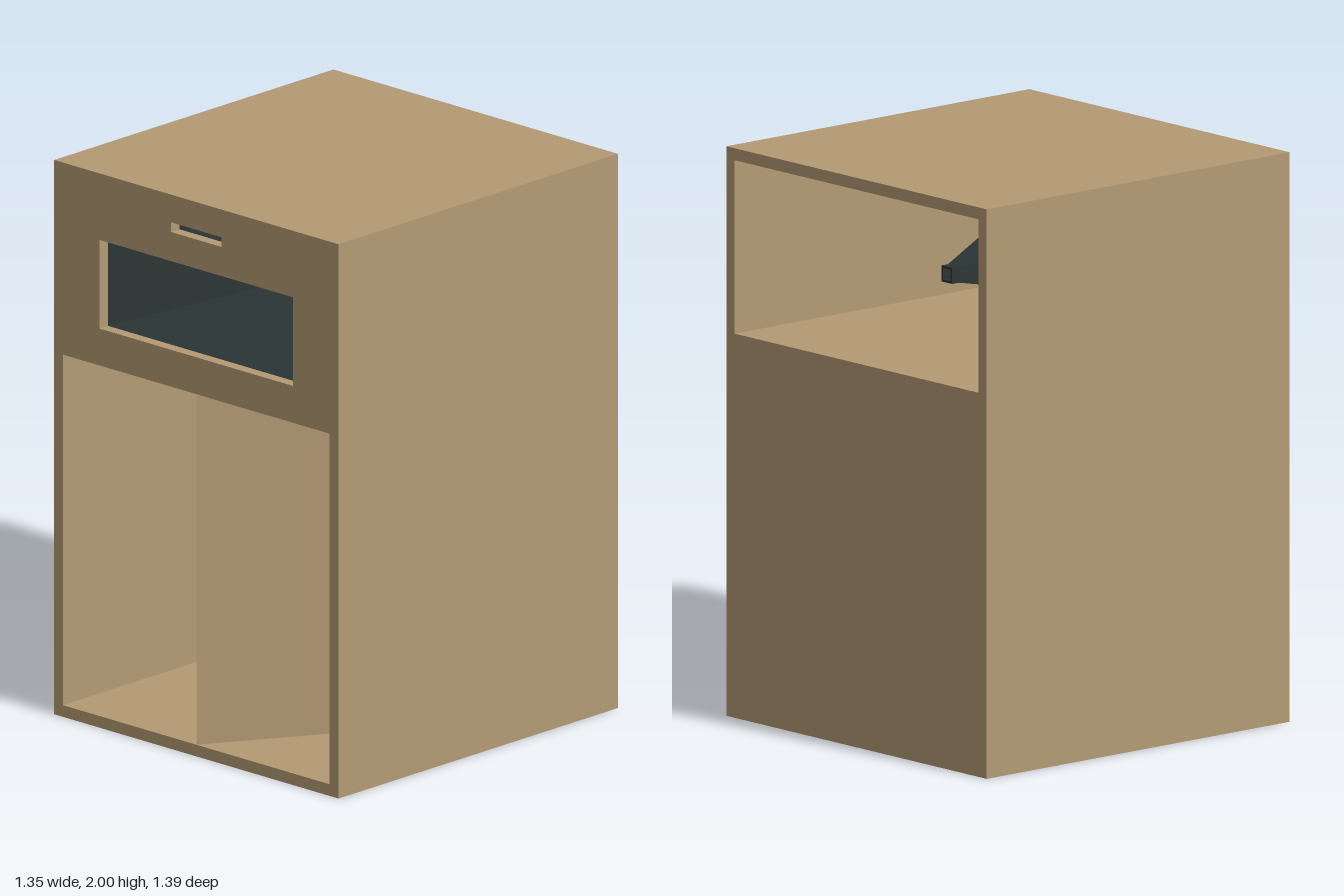
import * as THREE from 'three';

const W = 0.675, D = 0.693, H = 2, T = 0.042; // half width, half depth, height, panel thickness
const IN = W - T;                             // inner half width
const SHELF = 1.307;                          // underside of the shelf

export function createModel() {
  const model = new THREE.Group();
  model.name = 'cabinet';
  const wood = new THREE.MeshStandardMaterial({ color: 0xb39a73 });
  wood.name = 'wood';
  const black = new THREE.MeshStandardMaterial({ color: 0x2b3535 });
  black.name = 'hornBlack';

  const add = (name, geometry, material) => {
    const mesh = new THREE.Mesh(geometry, material);
    mesh.name = name;
    model.add(mesh);
    return mesh;
  };
  // Box panel from its minimum and maximum corners
  const panel = (name, x0, x1, y0, y1, z0, z1) =>
    add(name, new THREE.BoxGeometry(x1 - x0, y1 - y0, z1 - z0), wood)
      .position.set((x0 + x1) / 2, (y0 + y1) / 2, (z0 + z1) / 2);
  const outline = (Type, points) => new Type(points.map(([x, y]) => new THREE.Vector2(x, y)));
  const rect = (hw, y0, y1) => [[-hw, y0], [hw, y0], [hw, y1], [-hw, y1]];

  // Carcass
  panel('topPanel', -W, W, H - T, H, -D, D);
  panel('leftSide', IN, W, 0, H - T, -D, D);
  panel('rightSide', -W, -IN, 0, H - T, -D, D);
  panel('bottomPanel', -IN, IN, 0, T, -D, D);
  panel('shelf', -IN, IN, SHELF, SHELF + T, -D, D);
  panel('backPanel', -IN, IN, T, SHELF, -D, -D + T);

  // Front baffle with the mouth and slot cut through
  const mouth = { hw: 0.46, y0: 1.44, y1: 1.76 };
  const slot = { hw: 0.12, y0: 1.865, y1: 1.9 };
  const baffle = outline(THREE.Shape, rect(IN, SHELF + T, H - T));
  for (const o of [mouth, slot]) baffle.holes.push(outline(THREE.Path, rect(o.hw, o.y0, o.y1)));
  add('frontBaffle', new THREE.ExtrudeGeometry(baffle, { depth: T, bevelEnabled: false }), wood)
    .position.z = D - T;

  // Hollow wedge-fronted chamber, drawn in plan as (x, -z)
  const chamber = outline(THREE.Shape,
    [[0, -D], [0.475, 0.09], [0.475, 0.45], [-0.475, 0.45], [-0.475, 0.09]]);
  chamber.holes.push(outline(THREE.Path,
    [[0.2, -0.24], [0.433, 0.13], [0.433, 0.41], [-0.433, 0.41], [-0.433, 0.13], [-0.2, -0.24]]));
  const chamberGeo = new THREE.ExtrudeGeometry(chamber, { depth: SHELF - T, bevelEnabled: false });
  chamberGeo.rotateX(-Math.PI / 2);
  add('wedgeChamber', chamberGeo, wood).position.y = T;

  // Horn: rectangular sections joined inside, around the throat and back outside
  const horn = (name, o, zThroat, tw, th, wall) => {
    const cy = (o.y0 + o.y1) / 2, hh = (o.y1 - o.y0) / 2, zMouth = D - T;
    const sections = [
      [o.hw, hh, zMouth], [tw, th, zThroat], [tw, th, zThroat - 0.03],
      [tw + wall, th + wall, zThroat - 0.03], [tw + wall, th + wall, zThroat],
      [o.hw + wall, hh + wall, zMouth], [o.hw, hh, zMouth],
    ];
    const ring = ([w, h, z]) => rect(w, cy - h, cy + h).map(([x, y]) => [x, y, z]);
    const pos = [];
    for (let s = 0; s < sections.length - 1; s++) {
      const a = ring(sections[s]), b = ring(sections[s + 1]);
      for (let i = 0; i < 4; i++) {
        const j = (i + 1) % 4;
        pos.push(...a[i], ...a[j], ...b[j], ...a[i], ...b[j], ...b[i]);
      }
    }
    // Faces of the bore look inward
    for (let k = 0; k < pos.length; k += 9) {
      for (let c = 0; c < 3; c++) {
        [pos[k + 3 + c], pos[k + 6 + c]] = [pos[k + 6 + c], pos[k + 3 + c]];
      }
    }
    const geo = new THREE.BufferGeometry();
    geo.setAttribute('position', new THREE.Float32BufferAttribute(pos, 3));
    geo.computeVertexNormals();
    add(name, geo, black);
  };
  black.side = THREE.DoubleSide;
  horn('mainHorn', mouth, -0.25, 0.02, 0.02, 0.008);
  horn('slotHorn', slot, 0.4, 0.016, 0.014, 0.006);

  return model;
}
